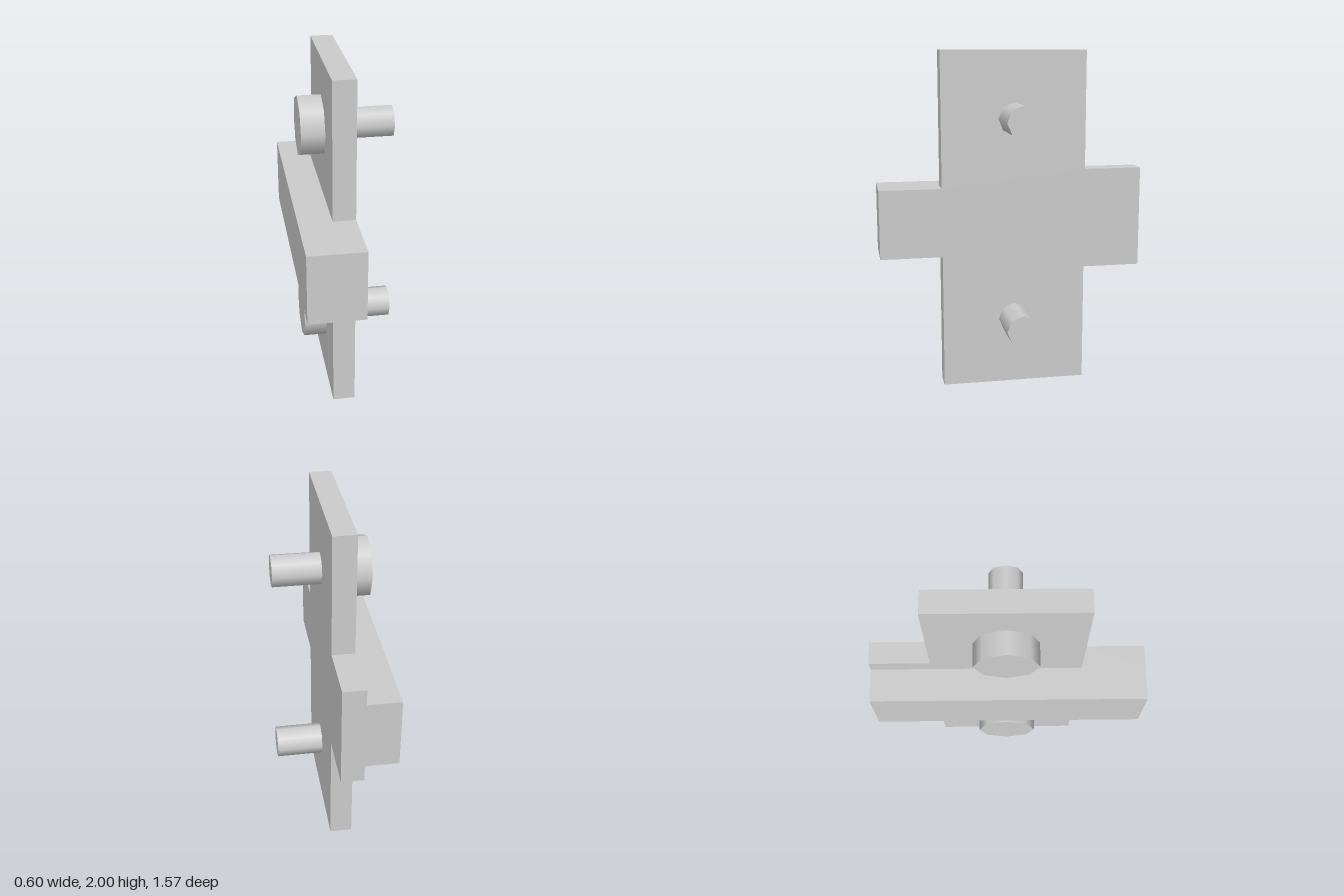
import * as THREE from 'three';

const material = new THREE.MeshStandardMaterial({ color: 0xcccccc });
const BACK = -0.11, FACE = 0.02; // plate thickness along x

// Octagonal rod along x, with smooth sides
function rod(name, radius, x0, x1, y) {
  const geometry = new THREE.CylinderGeometry(radius, radius, x1 - x0, 8);
  geometry.rotateZ(-Math.PI / 2);
  const mesh = new THREE.Mesh(geometry, material);
  mesh.name = name;
  mesh.position.set((x0 + x1) / 2, y, -0.01);
  return mesh;
}

export function createModel() {
  const group = new THREE.Group();
  group.name = 'boltedCrossPlate';

  // Cross-shaped plate: outline as [z, y], with a narrow front arm and a wide rear tab
  const outline = [
    [0.42, 0], [-0.44, 0], [-0.44, 0.7], [-0.785, 0.7], [-0.785, 1.3], [-0.44, 1.3],
    [-0.44, 2], [0.42, 2], [0.42, 1.205], [0.785, 1.205], [0.785, 0.797], [0.42, 0.797],
  ];
  const shape = new THREE.Shape(outline.map(([z, y]) => new THREE.Vector2(-z, y)));
  const plateGeometry = new THREE.ExtrudeGeometry(shape, { depth: FACE - BACK, bevelEnabled: false });
  plateGeometry.rotateY(Math.PI / 2).translate(BACK, 0, 0);
  const plate = new THREE.Mesh(plateGeometry, material);
  plate.name = 'crossPlate';
  group.add(plate);

  // Crossbar running the full length behind the plate
  const bar = new THREE.Mesh(new THREE.BoxGeometry(0.19, 0.408, 1.57), material);
  bar.name = 'crossbar';
  bar.position.set(BACK - 0.095, 1.001, 0);
  group.add(bar);

  // Two bolts: a head behind the plate and a shank out of its face
  for (const [label, y] of [['lower', 0.4], ['upper', 1.606]]) {
    const bolt = new THREE.Group();
    bolt.name = `${label}Bolt`;
    bolt.add(rod('boltHead', 0.178, -0.245, BACK, y));
    bolt.add(rod('boltShank', 0.094, FACE, 0.297, y));
    group.add(bolt);
  }
  return group;
}
